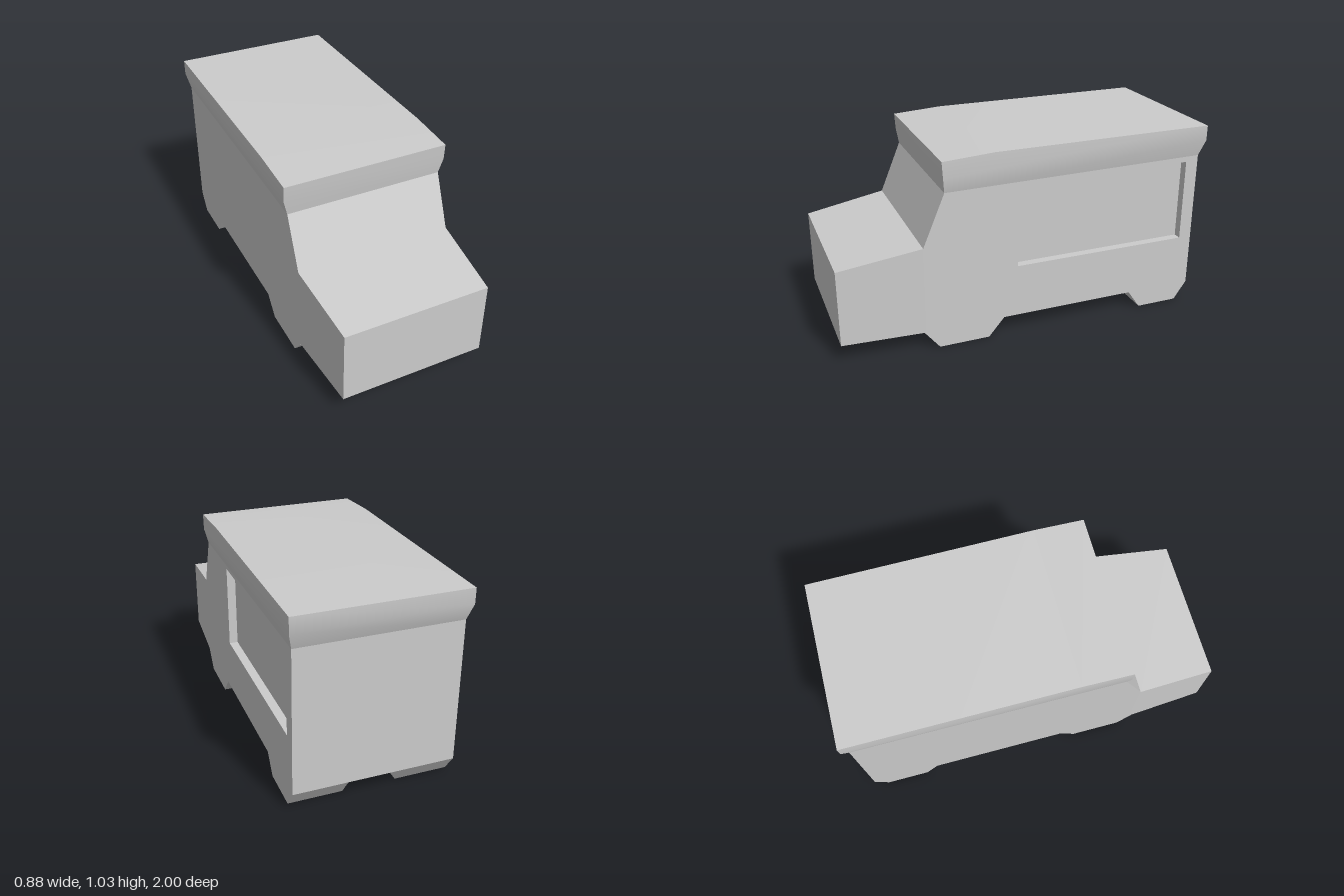
import * as THREE from 'three';
import { toCreasedNormals } from 'three/addons/utils/BufferGeometryUtils.js';

const material = new THREE.MeshStandardMaterial({ color: 0xcccccc });

// Profile points are [z, y, halfWidth]
const at = (p, s) => [p[2] * s, p[1], p[0]];

// Convex polygon, corners counter-clockwise, cut into a fan
function polygon(out, corners) {
  for (let i = 1; i < corners.length - 1; i++) out.push(...corners[0], ...corners[i], ...corners[i + 1]);
}

// Panels spanning the full width along a profile
function acrossPanels(out, profile) {
  for (let i = 0; i < profile.length - 1; i++) {
    const a = profile[i], b = profile[i + 1];
    polygon(out, [at(a, 1), at(b, 1), at(b, -1), at(a, -1)]);
  }
}

// The same side panel on left and right
function sidePanels(out, points) {
  polygon(out, points.map(p => at(p, 1)));
  polygon(out, points.map(p => at(p, -1)).reverse());
}

function mesh(name, geometry) {
  const m = new THREE.Mesh(geometry, material);
  m.name = name;
  return m;
}

function panelMesh(name, positions) {
  const g = new THREE.BufferGeometry();
  g.setAttribute('position', new THREE.Float32BufferAttribute(positions, 3));
  return mesh(name, toCreasedNormals(g, 0.45));
}

const W = 0.42;              // half width of the body
const RECESS_X = W - 0.045;  // depth of the side hatch
const hatch = [[0.07, 0.385], [-0.9, 0.385], [-0.9, 0.83], [0.07, 0.83]];

// Flat side wall; s = 1 is the left side (+x), s = -1 the right
function sideWall(name, s, hole) {
  const v = ([z, y]) => new THREE.Vector2(-s * z, y);
  const shape = new THREE.Shape([[0.57, 0.1], [-0.97, 0.1], [-0.97, 0.86], [0.455, 0.845], [0.57, 0.57]].map(v));
  if (hole) shape.holes.push(new THREE.Path(hole.map(v)));
  const g = new THREE.ShapeGeometry(shape);
  g.rotateY(s * Math.PI / 2).translate(s * W, 0, 0);
  return mesh(name, g);
}

// Angular wheel block: trapezoid in side view
function wheel(name, s, [topFront, bottomFront, bottomBack, topBack]) {
  const shape = new THREE.Shape([[-topFront, 0.1], [-bottomFront, 0], [-bottomBack, 0], [-topBack, 0.1]]
    .map(p => new THREE.Vector2(...p)));
  const g = new THREE.ExtrudeGeometry(shape, { depth: 0.28, bevelEnabled: false });
  g.rotateY(Math.PI / 2).translate(s > 0 ? 0.14 : -W, 0, 0);
  return mesh(name, g);
}

export function createModel() {
  const group = new THREE.Group();

  // Back, floor, nose, hood and windshield, with the tapered hood sides
  const body = [];
  acrossPanels(body, [
    [-0.97, 0.86, W], [-0.97, 0.1, W], [0.57, 0.1, W], [1, 0.1, 0.39],
    [1, 0.505, 0.39], [0.57, 0.57, W], [0.455, 0.845, W],
  ]);
  sidePanels(body, [[1, 0.1, 0.39], [0.57, 0.1, W], [0.57, 0.57, W], [1, 0.505, 0.39]]);
  group.add(panelMesh('body', body));

  // Side walls, hatch opening on the left only
  group.add(sideWall('leftWall', 1, hatch), sideWall('rightWall', -1));

  // Recessed hatch: four reveals and the back panel
  const recess = [];
  hatch.forEach(([z, y], i) => {
    const [z2, y2] = hatch[(i + 1) % 4];
    polygon(recess, [[W, y, z], [W, y2, z2], [RECESS_X, y2, z2], [RECESS_X, y, z]]);
  });
  polygon(recess, hatch.map(([z, y]) => [RECESS_X, y, z]));
  group.add(panelMesh('hatchRecess', recess));

  // Roof with flared overhang
  const R = 0.44;
  const flareFront = [0.455, 0.845, W], flareBack = [-0.97, 0.86, W];
  const rimFront = [0.465, 0.925, R], rimBack = [-1, 0.945, R];
  const topFront = [0.47, 1.01, R], topMiddle = [0.2, 1.026, R], topBack = [-1, 1.026, R];
  const roof = [];
  acrossPanels(roof, [flareFront, rimFront, topFront, topMiddle, topBack, rimBack, flareBack]);
  sidePanels(roof, [flareFront, flareBack, rimBack, rimFront]);
  sidePanels(roof, [rimFront, rimBack, topBack, topMiddle, topFront]);
  group.add(panelMesh('roof', roof));

  // Wheels
  for (const [side, s] of [['Left', 1], ['Right', -1]]) {
    group.add(wheel('front' + side + 'Wheel', s, [0.58, 0.5, 0.23, 0.145]));
    group.add(wheel('rear' + side + 'Wheel', s, [-0.6, -0.67, -0.9, -0.97]));
  }
  return group;
}
